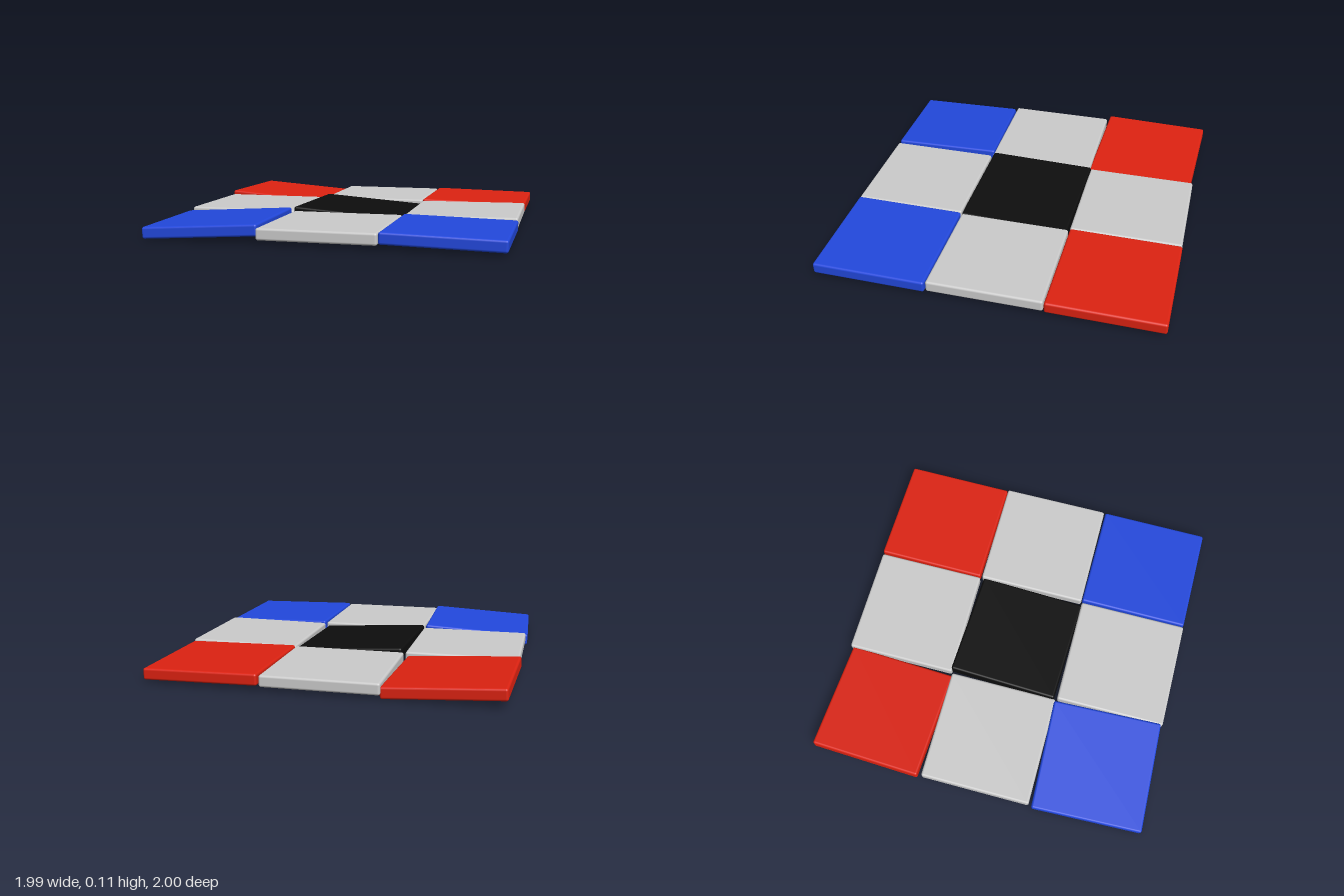
import * as THREE from 'three';
import { RoundedBoxGeometry } from 'three/addons/geometries/RoundedBoxGeometry.js';

const SIZE = 0.654, THICK = 0.066, PITCH = 0.66;

// name, column, row, colour, yaw and tilt in degrees
const TILES = [
  ['backRightTile', -1, -1, 'red', -2.4, -4],
  ['backTile', 0, -1, 'grey', 0, 0],
  ['backLeftTile', 1, -1, 'red', -0.5, -1],
  ['rightTile', -1, 0, 'grey', 0, 0],
  ['centreTile', 0, 0, 'black', -2.1, -3.9],
  ['leftTile', 1, 0, 'grey', 0, 0.6],
  ['frontRightTile', -1, 1, 'blue', 2.1, 3.3],
  ['frontTile', 0, 1, 'grey', 0, 0],
  ['frontLeftTile', 1, 1, 'blue', -0.4, -1.2],
];

export function createModel() {
  const group = new THREE.Group();
  group.name = 'tileBoard';

  const materials = {
    red: new THREE.MeshStandardMaterial({ color: 0xdd2211 }),
    blue: new THREE.MeshStandardMaterial({ color: 0x2248dd }),
    black: new THREE.MeshStandardMaterial({ color: 0x0d0d0d }),
    grey: new THREE.MeshStandardMaterial({ color: 0xcccccc }),
  };

  // one softly rounded slab shared by every tile
  const slab = new RoundedBoxGeometry(SIZE, THICK, SIZE, 3, 0.013);

  // three by three grid, some tiles lying slightly askew
  for (const [name, column, row, color, yaw, tilt] of TILES) {
    const tile = new THREE.Mesh(slab, materials[color]);
    tile.name = name;
    tile.position.set(column * PITCH, 0.061, row * PITCH);
    tile.rotation.set(0, THREE.MathUtils.degToRad(yaw), THREE.MathUtils.degToRad(tilt), 'YXZ');
    group.add(tile);
  }
  return group;
}
